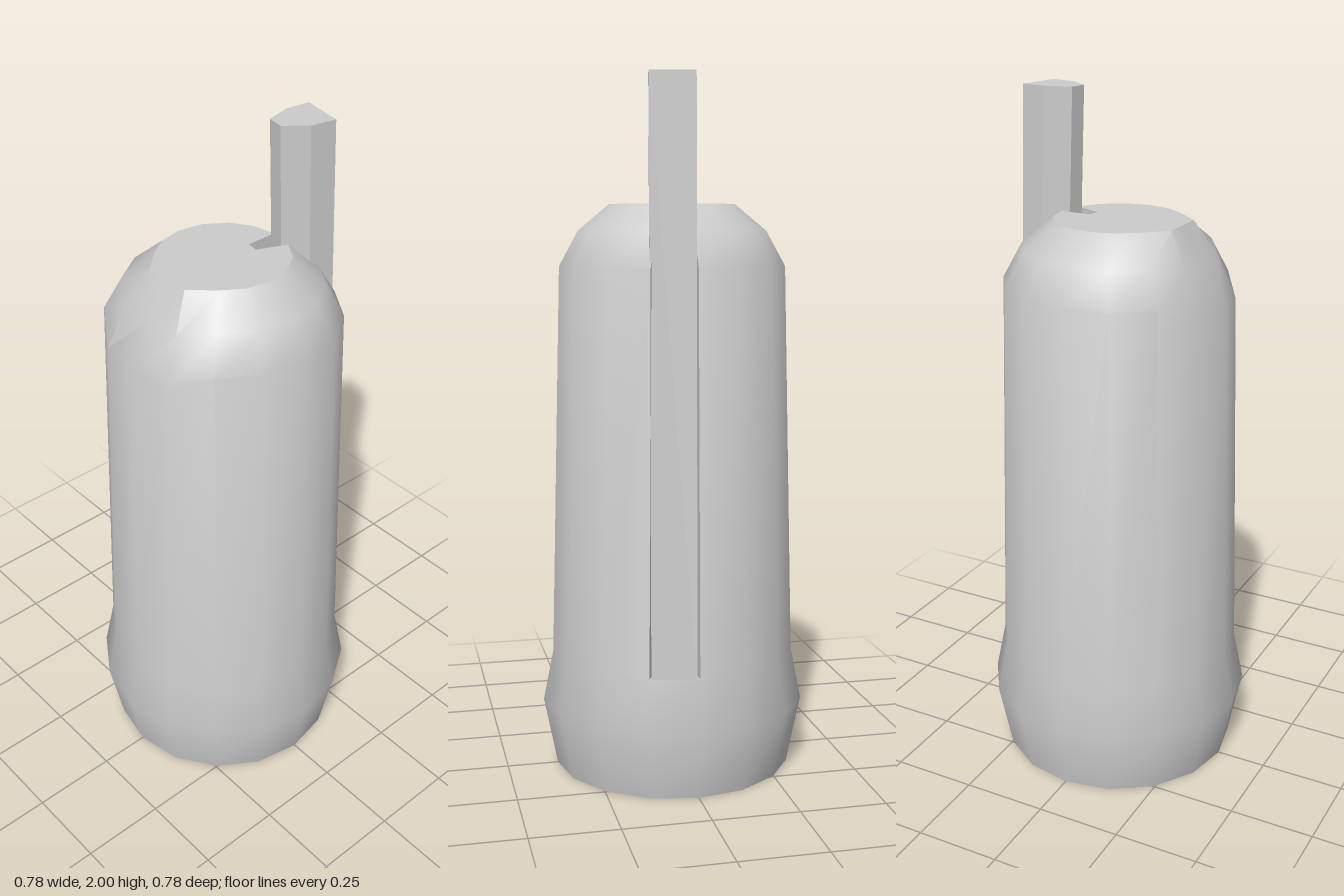
import * as THREE from 'three';
import { toCreasedNormals } from 'three/addons/utils/BufferGeometryUtils.js';

const SIDES = 16;
const SLOT = 12; // the facet that is cut away for the bar
const RINGS = [[0.35, 0], [0.39, 0.2], [0.36, 0.35], [0.33, 1.48], [0.275, 1.58], [0.185, 1.655]];
const SLOT_RING = 2; // the slot starts at this ring
const TOP = RINGS.length - 1;

// Point of a ring, with the front of the shoulder bent into a flat slope
function ringPoint(level, side) {
  const i = side % SIDES;
  const a = (i / SIDES) * Math.PI * 2;
  let [r, y] = RINGS[level];
  const p = new THREE.Vector3(r * Math.cos(a), y, r * Math.sin(a));
  if (i >= 3 && i <= 5) {
    if (level === 3) p.y = 1.43;
    if (level === 4) { p.y = 1.555; p.z = 0.255; }
    if (level === TOP) p.z = 0.195;
  }
  return p;
}

// Inner edge of the slot
function slotPoint(level, side) {
  const a = (side / SIDES) * Math.PI * 2;
  return new THREE.Vector3(0.092 * Math.cos(a), RINGS[level][1], 0.092 * Math.sin(a));
}

function bodyGeometry() {
  const pos = [];
  const tri = (...pts) => pts.forEach((p) => pos.push(p.x, p.y, p.z));
  const quad = (a, b, c, d) => { tri(a, b, c); tri(a, c, d); };
  const base = new THREE.Vector3(0, 0, 0);
  const crown = new THREE.Vector3(0, RINGS[TOP][1], 0);

  for (let i = 0; i < SIDES; i++) {
    const open = i === SLOT;
    // outer wall
    for (let l = 0; l < TOP; l++) {
      if (open && l >= SLOT_RING) continue;
      quad(ringPoint(l, i + 1), ringPoint(l, i), ringPoint(l + 1, i), ringPoint(l + 1, i + 1));
    }
    // bottom and top discs
    tri(base, ringPoint(0, i), ringPoint(0, i + 1));
    const edge = open ? slotPoint : ringPoint;
    tri(crown, edge(TOP, i + 1), edge(TOP, i));
  }

  // slot: two side walls, back wall and floor
  const s = SLOT, e = SLOT + 1;
  for (let l = SLOT_RING; l < TOP; l++) {
    quad(slotPoint(l, s), ringPoint(l, s), ringPoint(l + 1, s), slotPoint(l + 1, s));
    quad(ringPoint(l, e), slotPoint(l, e), slotPoint(l + 1, e), ringPoint(l + 1, e));
    quad(slotPoint(l, e), slotPoint(l, s), slotPoint(l + 1, s), slotPoint(l + 1, e));
  }
  const f = SLOT_RING;
  quad(slotPoint(f, s), slotPoint(f, e), ringPoint(f, e), ringPoint(f, s));

  const g = new THREE.BufferGeometry();
  g.setAttribute('position', new THREE.Float32BufferAttribute(pos, 3));
  return toCreasedNormals(g, 0.65);
}

// Six-sided bar, leaning outward towards its foot
function barGeometry() {
  const outline = [[0, 0.3], [-0.01, 0.23], [0.01, 0.15], [0.06, 0.14], [0.11, 0.2], [0.125, 0.275]];
  const shape = new THREE.Shape(outline.map(([x, y]) => new THREE.Vector2(x, y)));
  const foot = 0.35, height = 1.65;
  const g = new THREE.ExtrudeGeometry(shape, { depth: height, bevelEnabled: false });
  g.rotateX(-Math.PI / 2);
  g.translate(0, foot, 0);
  const p = g.attributes.position;
  for (let i = 0; i < p.count; i++) {
    const t = (foot + height - p.getY(i)) / height;
    p.setX(i, p.getX(i) + 0.008 * t);
    p.setZ(i, p.getZ(i) - 0.06 * t);
  }
  g.computeVertexNormals();
  return g;
}

export function createModel() {
  const group = new THREE.Group();
  const material = new THREE.MeshStandardMaterial({ color: 0xcccccc });
  const add = (name, geometry) => {
    const mesh = new THREE.Mesh(geometry, material);
    mesh.name = name;
    group.add(mesh);
  };
  add('body', bodyGeometry());
  add('slidingBar', barGeometry());
  return group;
}
